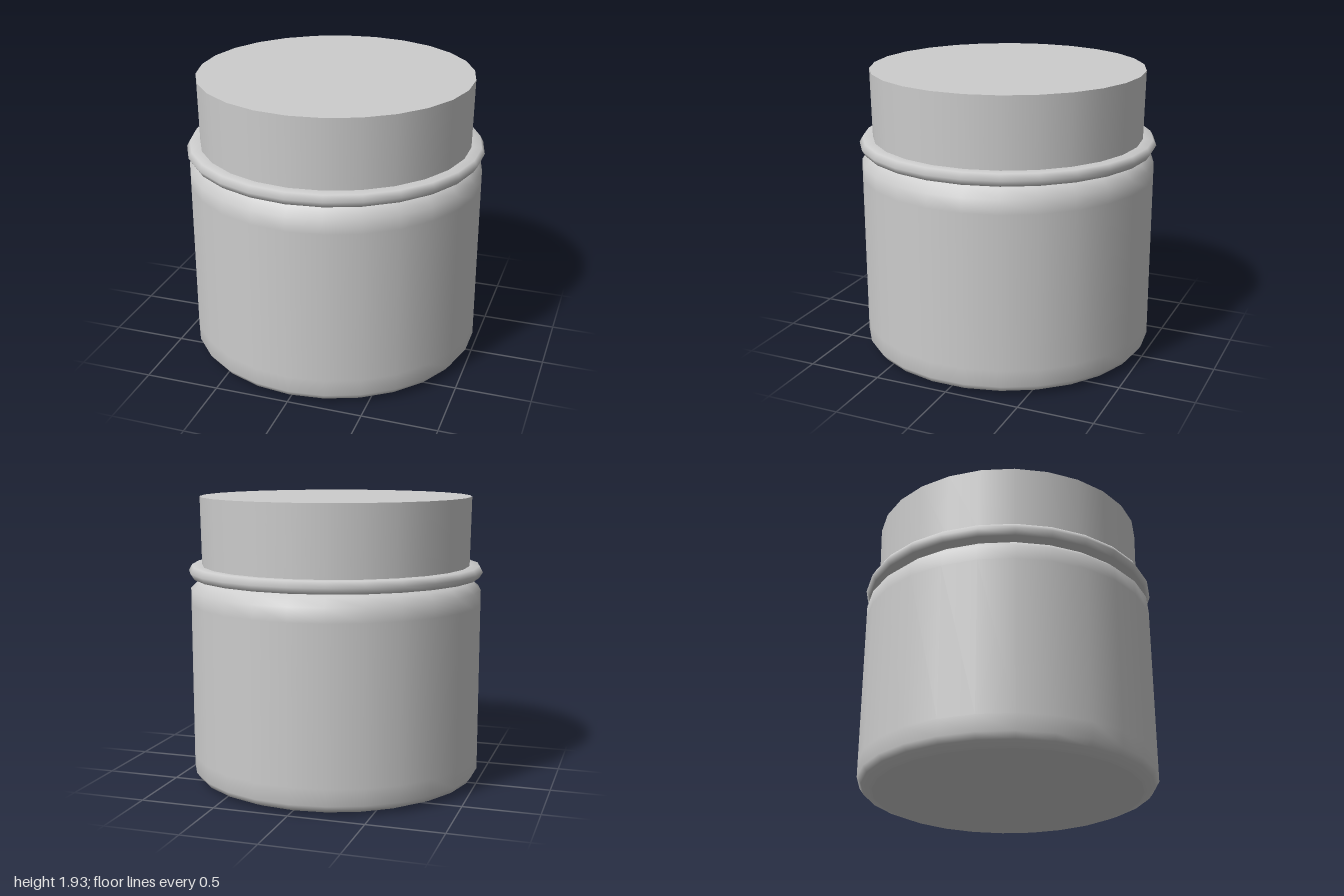
import * as THREE from 'three';

const SIDES = 26;

export function createModel() {
  const jar = new THREE.Group();
  jar.name = 'jar';
  const grey = new THREE.MeshStandardMaterial({ color: 0xcccccc });
  grey.name = 'light grey';

  // Each part is a turned profile of [radius, height], listed from bottom to top.
  const turn = (name, profile) => {
    const points = profile.map(([r, y]) => new THREE.Vector2(r, y));
    const mesh = new THREE.Mesh(new THREE.LatheGeometry(points, SIDES), grey);
    mesh.name = name;
    jar.add(mesh);
  };
  const disc = (name, radius, y, facing) => {
    const geometry = new THREE.CircleGeometry(radius, SIDES);
    geometry.rotateX(-facing * Math.PI / 2).rotateY(Math.PI / 2);
    geometry.translate(0, y, 0);
    const mesh = new THREE.Mesh(geometry, grey);
    mesh.name = name;
    jar.add(mesh);
  };

  // Body: rounded base, straight label band, rounded shoulder
  disc('bottom', 0.89, 0, -1);
  turn('base', [[0.89, 0], [0.96, 0.03], [0.988, 0.07], [0.988, 0.18]]);
  turn('labelBand', [[0.988, 0.18], [0.988, 1.215]]);
  turn('shoulder', [[0.988, 1.215], [0.988, 1.31], [0.93, 1.365], [0.88, 1.39]]);

  // Neck ring: bead between shoulder and lid
  turn('neckRing', [[0.86, 1.39], [0.975, 1.39], [1, 1.43], [0.978, 1.47], [0.9, 1.47]]);

  // Lid: slightly flared wall with a flat top
  turn('lidWall', [[0.91, 1.46], [0.918, 1.93]]);
  disc('lidTop', 0.918, 1.93, 1);
  return jar;
}
